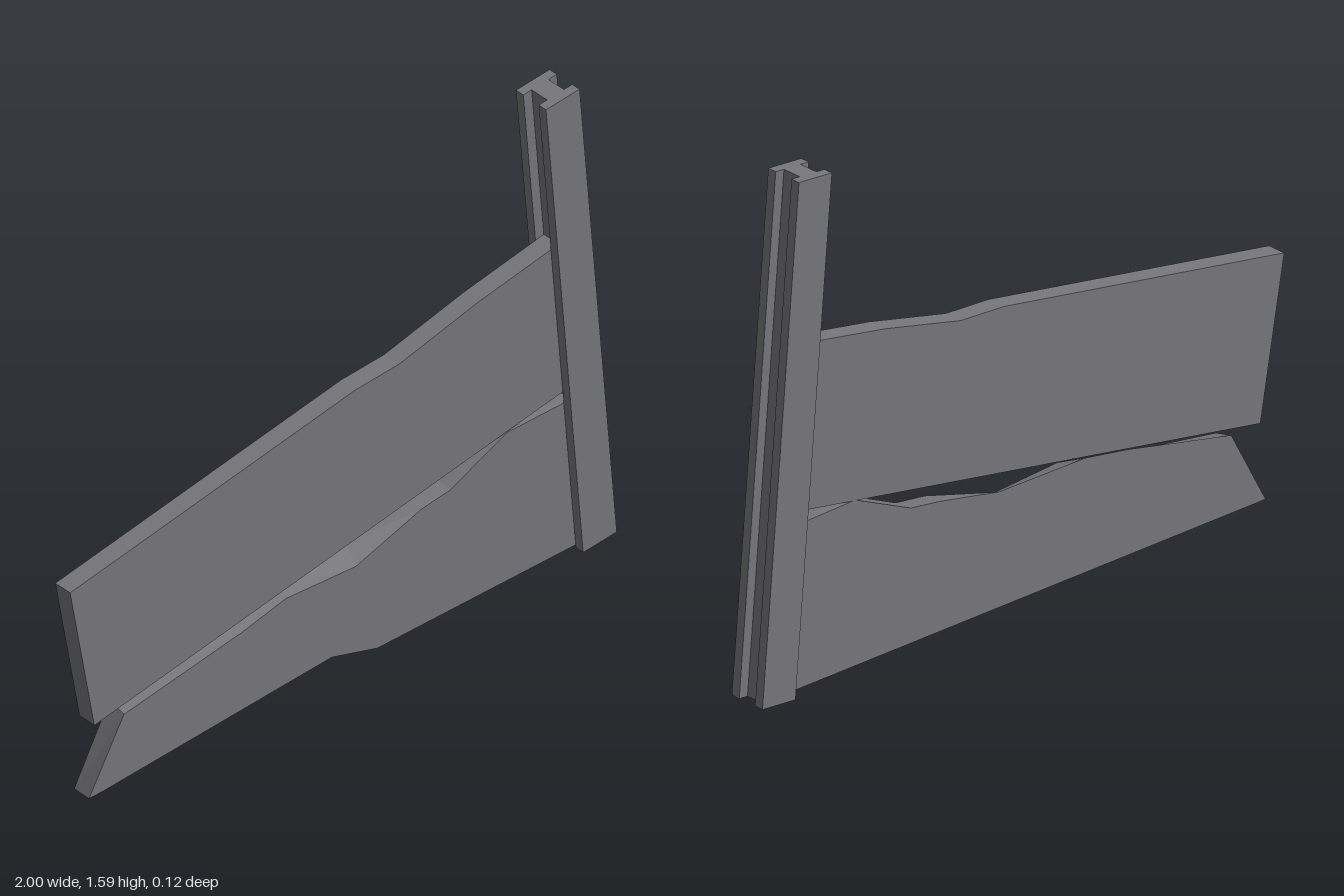
import * as THREE from 'three';

const HALF = 0.031; // half thickness of the panels

// Slab between a front and a back outline with paired, counter-clockwise corners
function slab(front, back = front) {
  const pos = [];
  const f = front.map(([x, y]) => [x, y, HALF]);
  const b = back.map(([x, y]) => [x, y, -HALF]);
  const tri = (...corners) => corners.forEach((c) => pos.push(...c));
  const cap = (outline) =>
    THREE.ShapeUtils.triangulateShape(outline.map(([x, y]) => new THREE.Vector2(x, y)), []);
  cap(front).forEach(([i, j, k]) => tri(f[i], f[j], f[k]));
  cap(back).forEach(([i, j, k]) => tri(b[k], b[j], b[i]));
  f.forEach((p, i) => {
    const j = (i + 1) % f.length;
    tri(p, b[i], b[j]);
    tri(p, b[j], f[j]);
  });
  const geometry = new THREE.BufferGeometry();
  geometry.setAttribute('position', new THREE.Float32BufferAttribute(pos, 3));
  geometry.computeVertexNormals();
  return geometry;
}

// H-shaped post section with a groove on each side, extruded upwards
function grooved(size, depth, groove, length) {
  const h = size / 2, d = h - depth;
  const half = [[h, -h], [h, -groove], [d, -groove], [d, groove], [h, groove], [h, h]];
  const outline = [...half, ...half.map(([x, y]) => [-x, -y])];
  const shape = new THREE.Shape(outline.map(([x, y]) => new THREE.Vector2(x, y)));
  return new THREE.ExtrudeGeometry(shape, { depth: length, bevelEnabled: false })
    .translate(0, 0, -length / 2)
    .rotateX(-Math.PI / 2);
}

export function createModel() {
  const model = new THREE.Group();
  model.name = 'brokenConcreteFence';
  const concrete = new THREE.MeshStandardMaterial({ color: 0x77777c });
  concrete.name = 'concrete';
  const add = (name, geometry) => {
    const mesh = new THREE.Mesh(geometry, concrete);
    mesh.name = name;
    model.add(mesh);
    return mesh;
  };

  // Leaning post
  const post = add('post', grooved(0.125, 0.031, 0.032, 1.582));
  post.position.set(0.868, 0.794, 0);
  post.rotation.z = THREE.MathUtils.degToRad(5);

  // Slipped upper panel, its right end held in the groove
  add('upperPanel', slab([
    [-1, 0.745], [-0.91, 0.25], [0.858, 0.56], [0.812, 1.066],
    [0.78, 1.06], [0.51, 1.01], [0.22, 0.94], [0.06, 0.93],
  ]));

  // Lower panel, broken along the top and chipped along the front foot
  add('lowerPanel', slab([
    [-0.93, 0.01], [-0.88, 0.01], [-0.03, 0.06], [0.14, 0.01], [0.902, 0.01],
    [0.858, 0.515], [0.62, 0.515], [0.41, 0.42], [0.3, 0.405],
    [0.06, 0.327], [-0.2, 0.342], [-0.36, 0.305], [-0.8, 0.235],
  ], [
    [-0.93, 0.01], [-0.88, 0.01], [-0.03, 0.01], [0.14, 0.01], [0.902, 0.01],
    [0.858, 0.515], [0.62, 0.52], [0.41, 0.426], [0.3, 0.41],
    [0.08, 0.366], [-0.25, 0.362], [-0.41, 0.335], [-0.8, 0.25],
  ]));

  return model;
}
